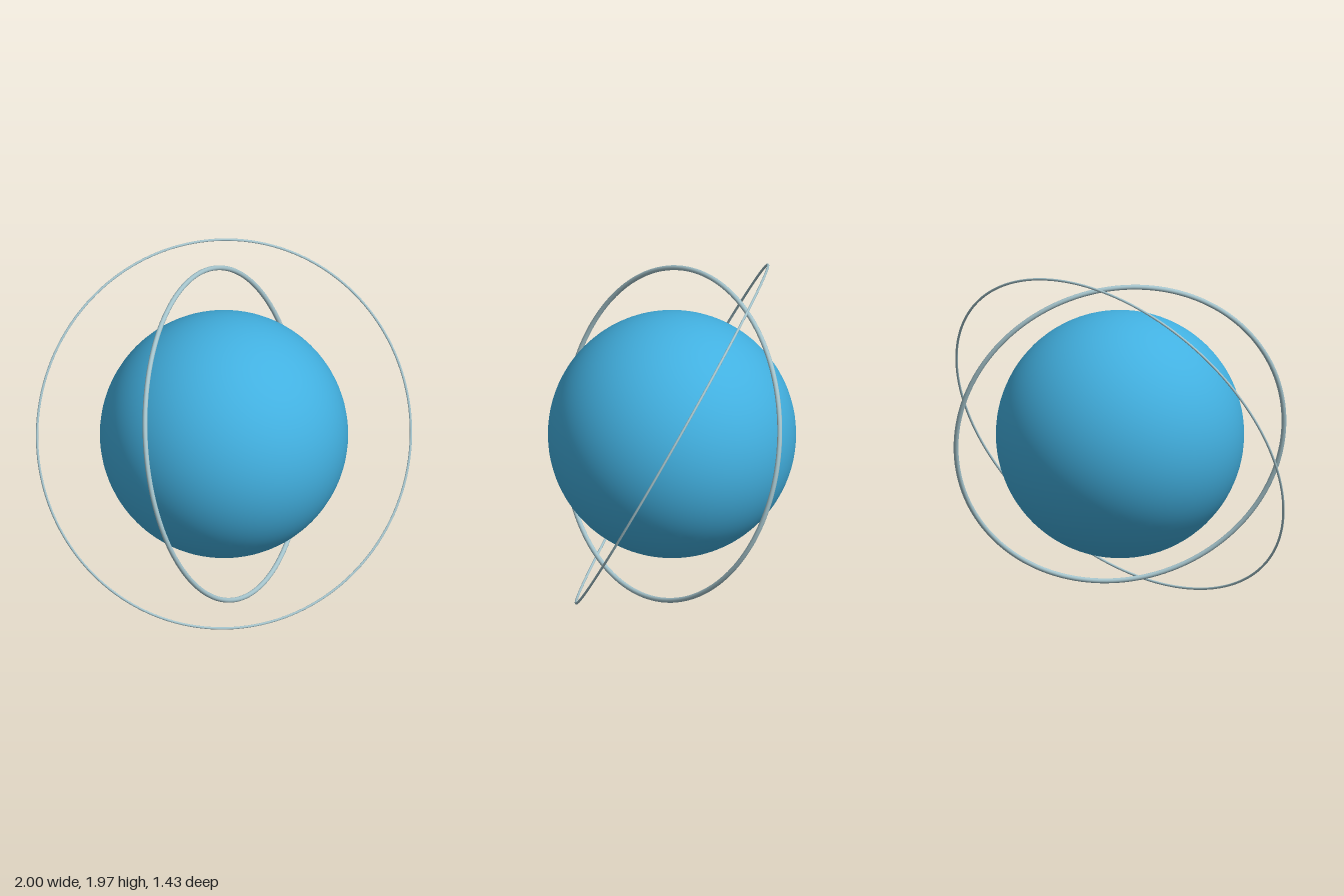
import * as THREE from 'three';

const CENTRE_Y = 0.988;

export function createModel() {
  const model = new THREE.Group();
  model.name = 'ringedGlobe';

  const blue = new THREE.MeshStandardMaterial({ color: 0x42b0e0 });
  blue.name = 'globe blue';
  const silver = new THREE.MeshStandardMaterial({ color: 0xa4c3cb });
  silver.name = 'pale silver blue';

  // Central globe
  const globe = new THREE.Mesh(new THREE.SphereGeometry(0.706, 72, 48), blue);
  globe.name = 'globe';
  globe.position.y = CENTRE_Y;
  model.add(globe);

  // Tilted orbit rings, each given by its radius, tube radius and axis
  const addRing = (name, radius, tube, axis) => {
    const ring = new THREE.Mesh(new THREE.TorusGeometry(radius, tube, 16, 160), silver);
    ring.name = name;
    ring.position.y = CENTRE_Y;
    ring.quaternion.setFromUnitVectors(
      new THREE.Vector3(0, 0, 1),
      new THREE.Vector3(...axis).normalize()
    );
    model.add(ring);
  };
  addRing('thickInnerRing', 0.946, 0.014, [0.299, 0.274, 0.914]);
  addRing('thinOuterRing', 1.106, 0.007, [-0.44, 0.468, 0.767]);

  return model;
}
